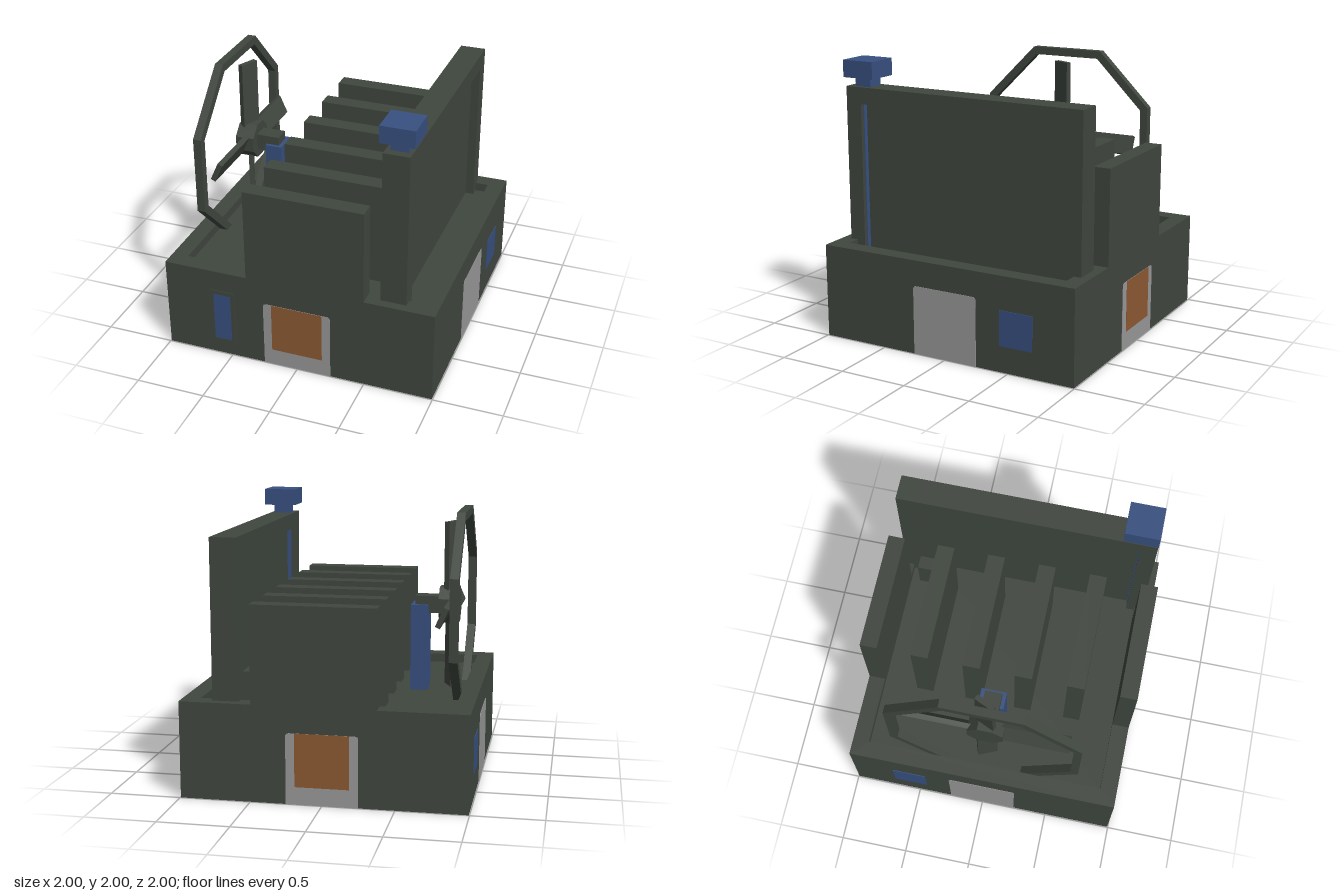
import * as THREE from 'three';

const mat = (name, color) => {
  const m = new THREE.MeshStandardMaterial({ color });
  m.name = name;
  return m;
};

export function createModel() {
  const model = new THREE.Group();
  const green = mat('dark green', 0x40473f);
  const blue = mat('blue', 0x385080);
  const grey = mat('grey', 0x999999);
  const orange = mat('orange', 0x8c5a32);

  const add = (name, geo, m, parent = model) => {
    const mesh = new THREE.Mesh(geo, m);
    mesh.name = name;
    parent.add(mesh);
    return mesh;
  };
  // Box given by its minimum and maximum on each axis
  const box = (name, m, x0, x1, y0, y1, z0, z1, parent = model) => {
    const b = add(name, new THREE.BoxGeometry(x1 - x0, y1 - y0, z1 - z0), m, parent);
    b.position.set((x0 + x1) / 2, (y0 + y1) / 2, (z0 + z1) / 2);
    return b;
  };
  const rect = (P, x0, x1, y0, y1) => {
    const p = new P();
    p.moveTo(x0, y0); p.lineTo(x1, y0); p.lineTo(x1, y1); p.lineTo(x0, y1); p.closePath();
    return p;
  };
  const extrude = (shape, depth) =>
    new THREE.ExtrudeGeometry(shape, { depth, bevelEnabled: false, curveSegments: 4 });

  // Base block with a raised rim round a sunken floor
  const E = 0.995, floor = 0.62, rim = 0.685;
  box('base', green, -E, E, 0, floor, -E, E);
  const rimShape = rect(THREE.Shape, -E, E, -E, E);
  rimShape.holes.push(rect(THREE.Path, -0.875, 0.872, -0.872, 0.875));
  const rimMesh = add('rim', extrude(rimShape, rim - floor), green);
  rimMesh.rotation.x = -Math.PI / 2;
  rimMesh.position.y = floor;

  // Row of upright slabs; the end ones rise from the rim
  for (const s of [-1, 1]) {
    box('endSlab', green, -0.375, 0.492, rim, 1.37, Math.min(s * E, s * 0.872), Math.max(s * E, s * 0.872));
  }
  for (let i = 0; i < 4; i++) {
    const z = -0.565 + i * 0.375;
    box('slab', green, -0.375, 0.492, floor, 1.37, z - 0.062, z + 0.062);
  }
  box('smallBlock', green, 0.492, 0.59, floor, 0.87, -0.81, -0.57);

  // Tall framed wall with a recessed panel
  for (const s of [-1, 1]) {
    box('wallPost', green, 0.59, 0.775, floor, 1.805, Math.min(s * 0.81, s * 0.93), Math.max(s * 0.81, s * 0.93));
  }
  box('wallLintel', green, 0.59, 0.775, 1.685, 1.805, -0.81, 0.81);
  box('wallPanel', green, 0.655, 0.712, floor, 1.685, -0.81, 0.81);
  box('pipeStrip', blue, 0.625, 0.745, floor, 1.685, 0.804, 0.812);

  // Chimney on the front end of the wall
  box('chimneyNeck', blue, 0.622, 0.745, 1.805, 1.872, 0.745, 0.87);
  box('chimneyCap', blue, 0.563, 0.806, 1.872, 1.995, 0.685, 0.93);

  // Octagonal guard ring
  const axisY = 1.245;
  const octagon = (P, apothem) => {
    const p = new P(), r = apothem / Math.cos(Math.PI / 8);
    for (let i = 0; i < 8; i++) {
      const a = (i + 0.5) * Math.PI / 4;
      p[i ? 'lineTo' : 'moveTo'](r * Math.cos(a), r * Math.sin(a));
    }
    p.closePath();
    return p;
  };
  const ringShape = octagon(THREE.Shape, 0.69);
  ringShape.holes.push(octagon(THREE.Path, 0.632));
  const ring = add('guardRing', extrude(ringShape, 0.06), green);
  ring.rotation.y = Math.PI / 2;
  ring.position.set(-0.873, axisY, 0);

  // Fan: hub, shaft, post and four pitched blades
  const hub = add('fanHub', extrude(octagon(THREE.Shape, 0.128), 0.14), green);
  hub.rotation.y = Math.PI / 2;
  hub.position.set(-0.813, axisY, 0);
  box('fanShaft', green, -0.68, -0.5, 1.185, 1.307, -0.062, 0.062);
  box('fanPost', blue, -0.595, -0.47, floor, axisY, -0.095, 0.088);
  for (let k = 0; k < 4; k++) {
    const arm = new THREE.Group();
    arm.name = 'fanBlade';
    arm.position.set(-0.752, axisY, 0);
    arm.rotation.x = k * Math.PI / 2;
    const blade = add('blade', new THREE.BoxGeometry(0.038, 0.6, 0.146), green, arm);
    blade.position.y = 0.3;
    blade.rotation.y = -0.42;
    model.add(arm);
  }

  // Doors on all four sides, with rounded top corners
  const door = new THREE.Shape();
  door.moveTo(-0.25, 0); door.lineTo(0.25, 0); door.lineTo(0.25, 0.475);
  door.quadraticCurveTo(0.25, 0.5, 0.225, 0.5); door.lineTo(-0.225, 0.5);
  door.quadraticCurveTo(-0.25, 0.5, -0.25, 0.475); door.closePath();
  const doorGeo = extrude(door, 0.004);
  for (let k = 0; k < 4; k++) {
    const side = new THREE.Group();
    side.name = 'doorway';
    side.rotation.y = k * Math.PI / 2;
    add('door', doorGeo, grey, side).position.z = E - 0.001;
    if (k % 2 === 0) box('doorPanel', orange, -0.188, 0.188, 0.125, 0.5, E, 1.0, side);
    model.add(side);
  }

  // Side windows and the narrow framed front window
  for (const s of [-1, 1]) {
    const x = s * E;
    box('sideWindow', blue, x - 0.005, x + 0.005, 0.19, 0.443, -0.685, -0.435);
  }
  const frame = rect(THREE.Shape, -0.655, -0.47, 0.1, 0.53);
  frame.holes.push(rect(THREE.Path, -0.63, -0.5, 0.125, 0.5));
  add('frontWindowFrame', extrude(frame, 0.006), green).position.z = E - 0.001;
  box('frontWindow', blue, -0.63, -0.5, 0.125, 0.5, E - 0.003, E + 0.003);

  return model;
}
